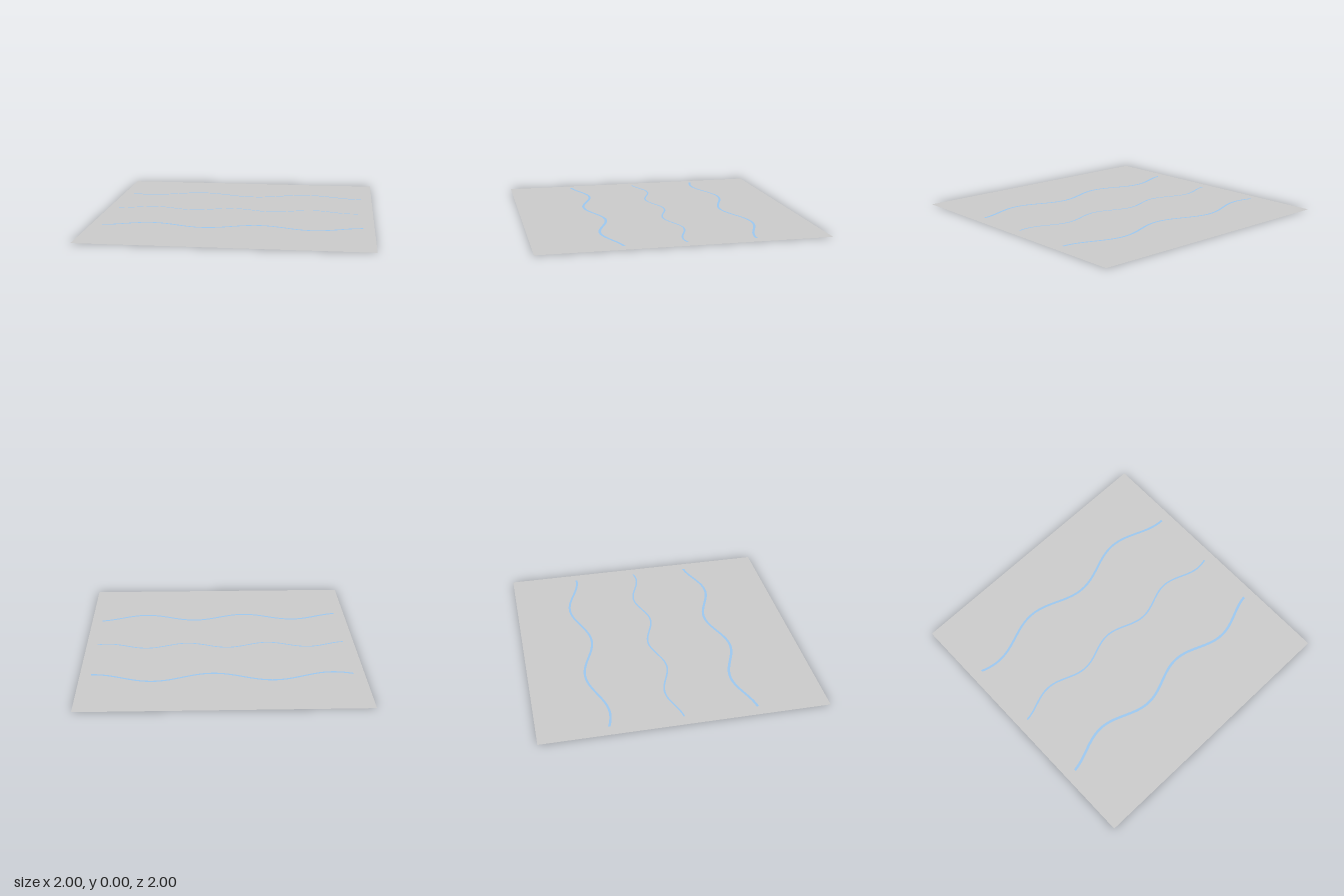
import * as THREE from 'three';

// Flat ribbon following a cosine wave along x
function waveRibbon(name, { z, amp, period, crest, width }, material) {
  const segments = 96, halfLength = 0.92;
  const geo = new THREE.PlaneGeometry(halfLength * 2, width, segments, 1);
  geo.rotateX(-Math.PI / 2);
  const pos = geo.attributes.position;
  const k = (Math.PI * 2) / period;
  for (let i = 0; i < pos.count; i++) {
    const x = pos.getX(i), side = pos.getZ(i);
    const slope = amp * k * Math.sin(k * (x - crest));
    // Widen on slopes so the ribbon keeps an even thickness
    pos.setZ(i, z - amp * Math.cos(k * (x - crest)) + side * Math.hypot(1, slope));
  }
  const mesh = new THREE.Mesh(geo, material);
  mesh.name = name;
  mesh.position.y = 0.002;
  return mesh;
}

export function createModel() {
  const group = new THREE.Group();
  group.name = 'wavySurface';

  // Square ground sheet, visible from both sides
  const sheet = new THREE.Mesh(
    new THREE.PlaneGeometry(2, 2).rotateX(-Math.PI / 2),
    new THREE.MeshStandardMaterial({ color: 0xcccccc, side: THREE.DoubleSide })
  );
  sheet.name = 'groundSheet';
  group.add(sheet);

  // Three blue wave lines lying on the sheet
  const blue = new THREE.MeshStandardMaterial({ color: 0x9cc8f0, side: THREE.DoubleSide });
  const waves = {
    backWave: { z: -0.543, amp: 0.054, period: 0.845, crest: -0.355, width: 0.016 },
    middleWave: { z: -0.043, amp: 0.038, period: 0.597, crest: -0.05, width: 0.012 },
    frontWave: { z: 0.459, amp: 0.05, period: 0.765, crest: 0.19, width: 0.018 },
  };
  for (const [name, wave] of Object.entries(waves)) group.add(waveRibbon(name, wave, blue));

  return group;
}
